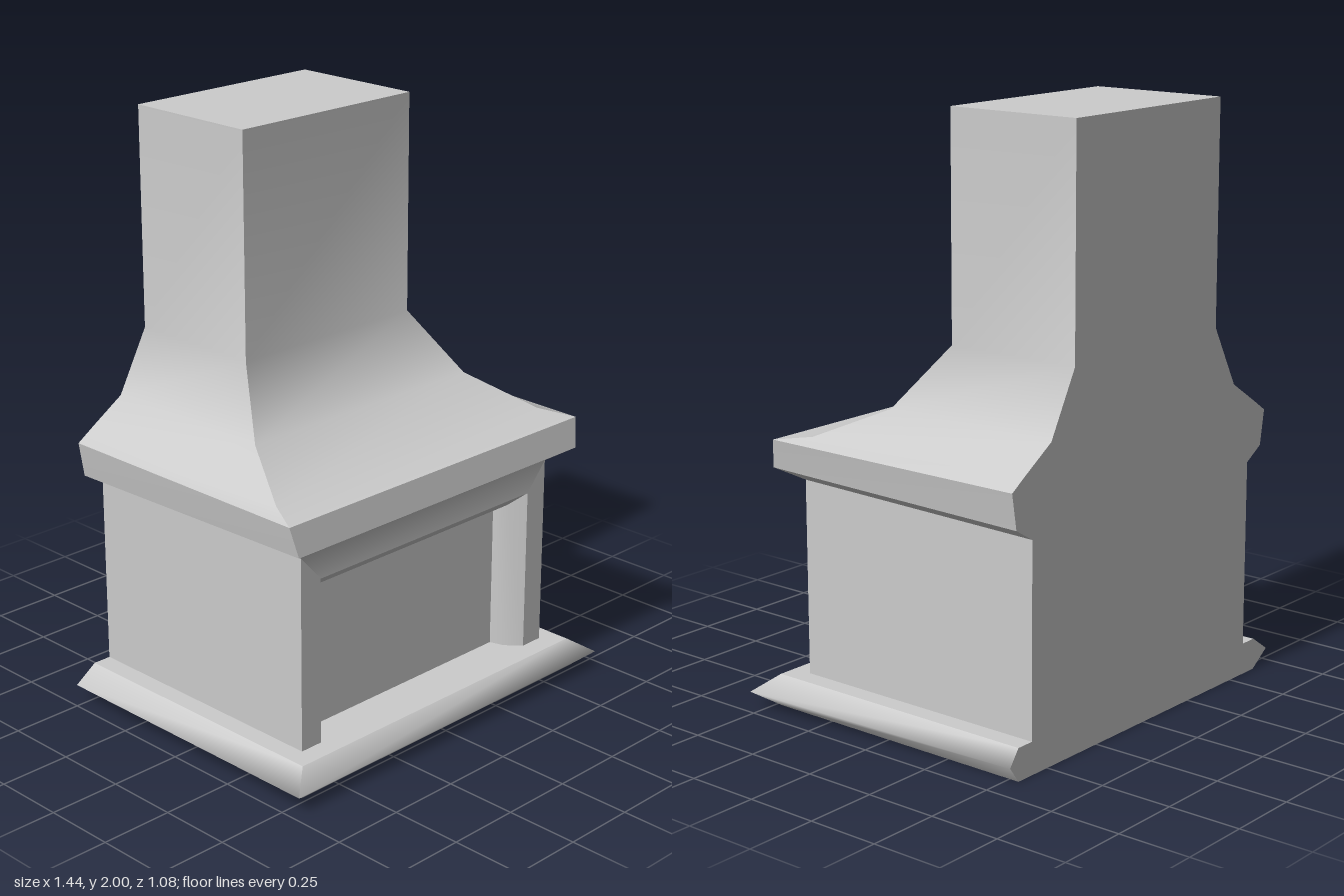
import * as THREE from 'three';
import { mergeGeometries } from 'three/addons/utils/BufferGeometryUtils.js';

const BACK = -0.535;
const grey = new THREE.MeshStandardMaterial({ color: 0xcccccc, side: THREE.DoubleSide });

// Strip through rows of [left, right] points: smooth along its profile, sharp at its ends.
function strip(rows) {
  const index = [];
  for (let i = 0; i < rows.length - 1; i++) {
    const a = i * 2;
    index.push(a, a + 1, a + 3, a, a + 3, a + 2);
  }
  const geometry = new THREE.BufferGeometry();
  geometry.setAttribute('position', new THREE.Float32BufferAttribute(rows.flat(2), 3));
  geometry.setIndex(index);
  geometry.computeVertexNormals();
  return geometry;
}

// Corners of a rectangular course: front left, front right, back right, back left on the page.
const corners = ([y, halfWidth, front, backY = y, backRight = halfWidth]) => [
  [-halfWidth, y, front], [halfWidth, y, front],
  [backRight, backY, BACK], [-halfWidth, backY, BACK],
];

// Walls between stacked courses; sides are 0 front, 1 right, 2 back, 3 left on the page.
function walls(courses, sides = [0, 1, 2, 3]) {
  const rings = courses.map(corners);
  return sides.map((s) => strip(rings.map((r) => [r[s], r[(s + 1) % 4]])));
}

// Flat lid on a course, facing up or down.
function lid(course, up) {
  const [a, b, c, d] = corners(course);
  return up ? strip([[a, b], [d, c]]) : strip([[d, c], [a, b]]);
}

export function createModel() {
  const model = new THREE.Group();
  const add = (name, parts) => {
    const mesh = new THREE.Mesh(mergeGeometries(parts), grey);
    mesh.name = name;
    model.add(mesh);
  };

  // Hearth slab with a pointed edge
  const hearth = [[0, 0.64, 0.48], [0.055, 0.72, 0.545, 0.055, 0.68], [0.11, 0.64, 0.48]];
  add('hearthSlab', [...walls(hearth), lid(hearth[0], false), lid(hearth[2], true)]);

  // Side and back walls of the firebox
  add('body', walls([[0.11, 0.575, 0.41], [0.775, 0.575, 0.41, 0.755]], [1, 2, 3]));

  // Front pillars with mitred tops
  add('pillars', [-1, 1].map((s) => {
    const outer = [[s * 0.575, 0.11, 0.41], [s * 0.575, 0.775, 0.41]];
    const inner = [[s * 0.49, 0.11, 0.41], [s * 0.49, 0.68, 0.41]];
    const [l, r] = s < 0 ? [outer, inner] : [inner, outer];
    return strip([[l[0], r[0]], [l[1], r[1]]]);
  }));

  // Lintel flaring out into the mantel
  add('lintel', walls([[0.68, 0.49, 0.41], [0.775, 0.575, 0.41], [0.82, 0.65, 0.48]], [0]));

  // Splayed surround of the opening: [half width, top, z]
  const surround = [[0.49, 0.68, 0.41], [0.445, 0.635, 0.36], [0.43, 0.62, 0.31]].map(
    ([w, top, z]) => [[w, 0.11, z], [w, top, z], [-w, top, z], [-w, 0.11, z]]);
  add('openingSurround', [0, 1, 2].map((s) => strip(surround.map((r) => [r[s], r[s + 1]]))));

  // Panel closing the opening
  const panel = new THREE.PlaneGeometry(0.86, 0.51);
  panel.translate(0, 0.365, 0.31);
  add('firePanel', [panel]);

  // Mantel: sloping underside, then leaning fascia
  const mantelBottom = [0.82, 0.65, 0.48, 0.80];
  add('mantelUnderside', walls([[0.775, 0.575, 0.41, 0.755], mantelBottom], [1, 2, 3]));
  add('mantelFascia', walls([mantelBottom, [0.92, 0.67, 0.46]]));

  // Curved hood rising into the chimney
  const hood = [
    [0.92, 0.67, 0.46], [0.937, 0.61, 0.34, 0.96], [1.04, 0.485, 0.115],
    [1.25, 0.372, -0.045], [2, 0.372, -0.045],
  ];
  add('hoodAndChimney', [...walls(hood), lid(hood[4], true)]);

  return model;
}
